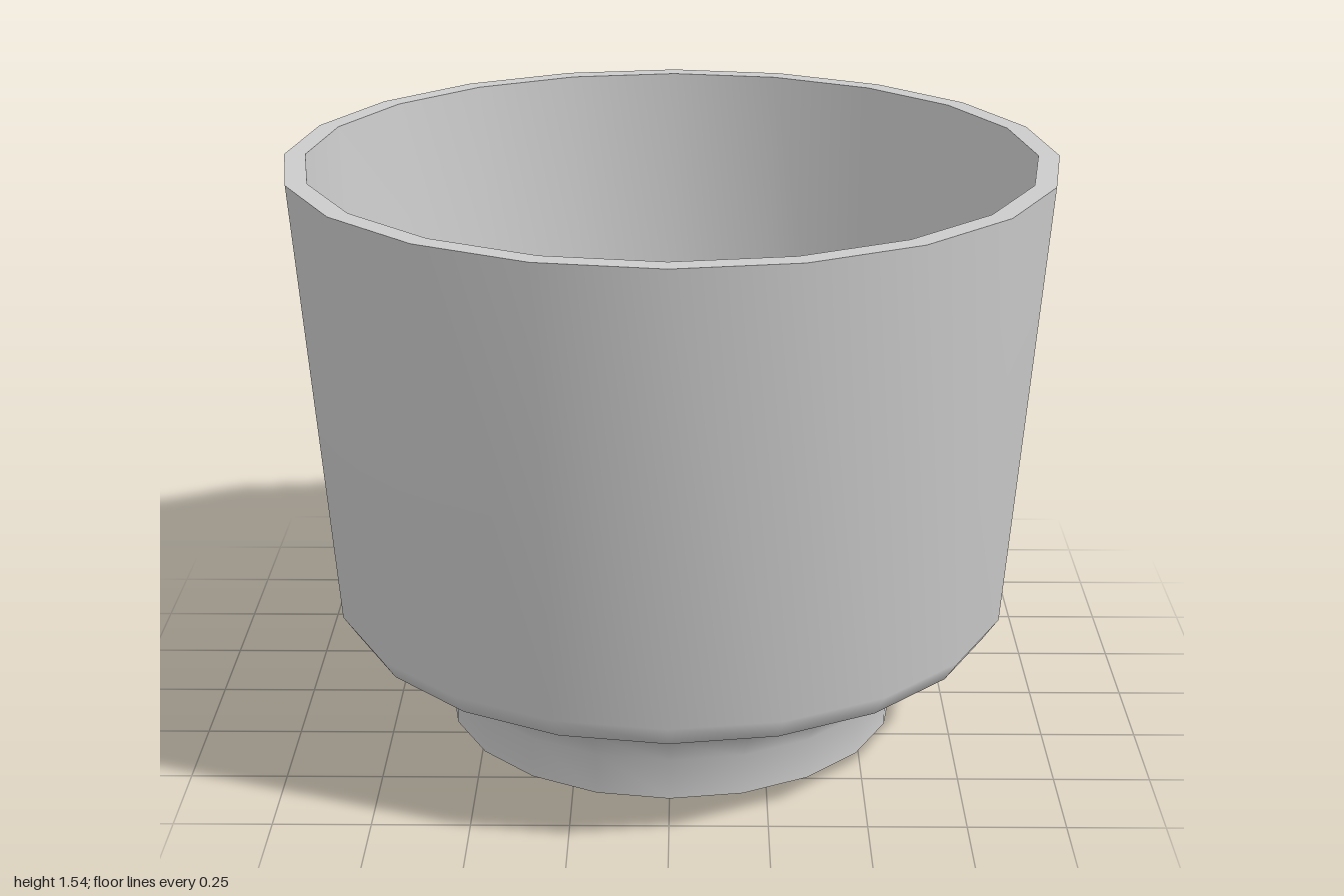
import * as THREE from 'three';
import { mergeVertices } from 'three/addons/utils/BufferGeometryUtils.js';

const SIDES = 20;
const material = new THREE.MeshStandardMaterial({ color: 0xcccccc });

// Revolve a profile, smooth within itself; separate parts meet at sharp edges.
function turned(name, profile) {
  let geometry = new THREE.LatheGeometry(profile.map(([r, y]) => new THREE.Vector2(r, y)), SIDES);
  geometry.deleteAttribute('uv');
  geometry.deleteAttribute('normal');
  geometry = mergeVertices(geometry, 1e-4);
  geometry.computeVertexNormals();
  const mesh = new THREE.Mesh(geometry, material);
  mesh.name = name;
  return mesh;
}

export function createModel() {
  const cup = new THREE.Group();
  cup.name = 'cup';
  cup.add(
    // Foot, flared shoulder and tapered wall
    turned('outerWall', [[0.61, 0], [0.61, 0.11], [0.65, 0.18], [0.87, 0.295], [0.91, 0.355], [1, 1.54]]),
    turned('rim', [[1, 1.54], [0.945, 1.54]]),
    // Inside wall rounding into the flat floor
    turned('innerWallAndFloor', [[0.945, 1.54], [0.85, 0.37], [0.79, 0.32], [0, 0.32]]),
    // Hollow underside of the foot
    turned('footRecessCeiling', [[0, 0.09], [0.525, 0.09]]),
    turned('footRecessWall', [[0.525, 0.09], [0.525, 0]]),
    turned('footRing', [[0.525, 0], [0.61, 0]]),
  );
  return cup;
}
